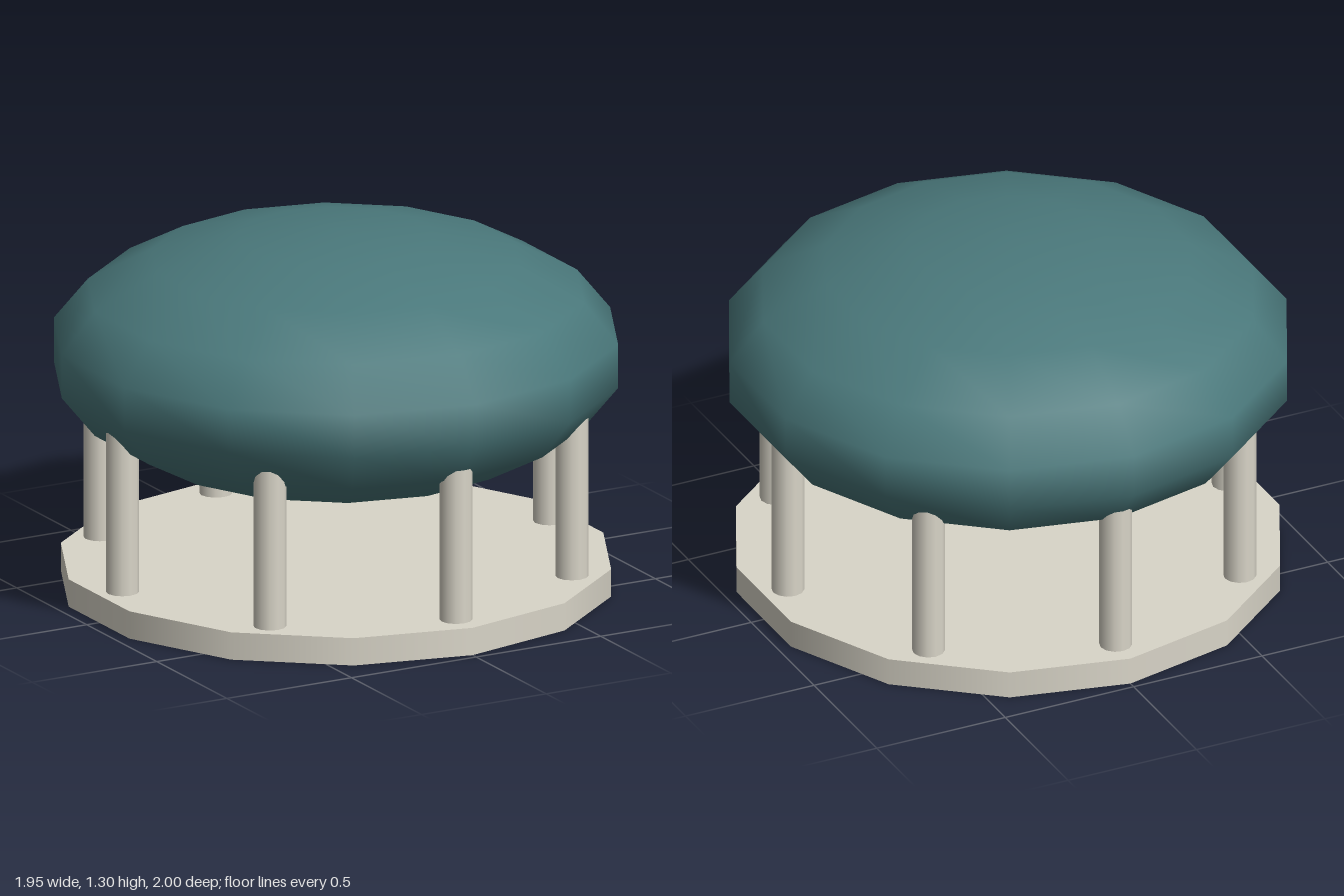
import * as THREE from 'three';

export function createModel() {
  const group = new THREE.Group();
  const teal = new THREE.MeshStandardMaterial({ name: 'teal', color: 0x4a787b });
  const stone = new THREE.MeshStandardMaterial({ name: 'pale stone', color: 0xd9d5c8 });

  const add = (name, geometry, material, x, y, z) => {
    const mesh = new THREE.Mesh(geometry, material);
    mesh.name = name;
    mesh.position.set(x, y, z);
    group.add(mesh);
    return mesh;
  };

  // Fourteen-sided base slab, corners at front and back
  add('base', new THREE.CylinderGeometry(0.975, 0.975, 0.1, 14), stone, 0, 0.05, 0);

  // Ring of eight posts running up into the body
  const postGeometry = new THREE.CylinderGeometry(0.058, 0.058, 0.72, 12);
  for (let i = 0; i < 8; i++) {
    const a = (i * Math.PI) / 4;
    add('post' + (i + 1), postGeometry, stone, 0.857 * Math.sin(a), 0.44, 0.857 * Math.cos(a));
  }

  // Flattened ellipsoid body, widest ring reaching z = +-1
  const body = new THREE.SphereGeometry(1, 14, 9);
  body.rotateY(Math.PI / 2);
  body.scale(1.0154, 0.455, 1.0154);
  add('body', body, teal, 0, 0.844, 0);

  return group;
}
